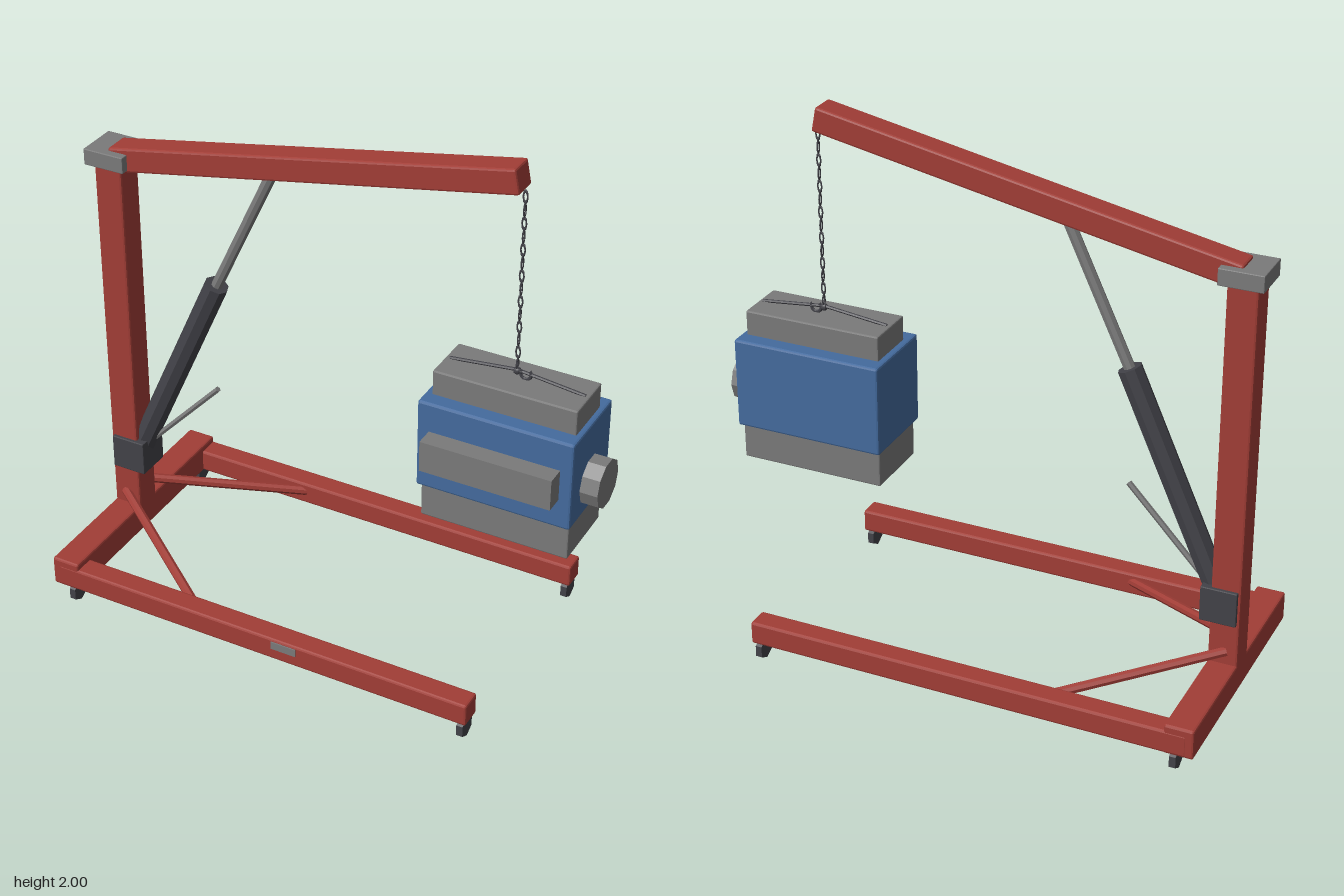
import * as THREE from 'three';
import { RoundedBoxGeometry } from 'three/addons/geometries/RoundedBoxGeometry.js';

const makeMaterial = (name, color) => {
  const m = new THREE.MeshStandardMaterial({ color, flatShading: true });
  m.name = name;
  return m;
};

export function createModel() {
  const red = makeMaterial('red paint', 0xa13d36);
  const blue = makeMaterial('blue block', 0x446b9e);
  const grey = makeMaterial('grey metal', 0x7a7a7a);
  const dark = makeMaterial('dark metal', 0x424248);

  const model = new THREE.Group();
  model.name = 'engineHoist';

  const add = (name, geometry, material, parent = model) => {
    const mesh = new THREE.Mesh(geometry, material);
    mesh.name = name;
    parent.add(mesh);
    return mesh;
  };
  // Chamfered box from min and max corners
  const box = (name, min, max, material, bevel = 0.008) => {
    const s = max.map((v, i) => v - min[i]);
    const geometry = bevel ? new RoundedBoxGeometry(...s, 1, bevel) : new THREE.BoxGeometry(...s);
    const mesh = add(name, geometry, material);
    mesh.position.set(...max.map((v, i) => (v + min[i]) / 2));
    return mesh;
  };
  // Round bar between two points
  const bar = (name, a, b, radius, material, sides = 8) => {
    const from = new THREE.Vector3(...a), to = new THREE.Vector3(...b);
    const dir = to.clone().sub(from);
    const mesh = add(name, new THREE.CylinderGeometry(radius, radius, dir.length(), sides), material);
    mesh.position.copy(from).add(to).multiplyScalar(0.5);
    mesh.quaternion.setFromUnitVectors(new THREE.Vector3(0, 1, 0), dir.normalize());
    return mesh;
  };

  // Base frame and mast
  box('crossBeam', [-0.975, 0.07, -0.485], [-0.865, 0.185, 0.485], red);
  box('mast', [-0.975, 0.16, -0.055], [-0.865, 1.65, 0.055], red);
  for (const side of [-1, 1]) {
    const z = side * 0.443;
    box('leg', [-0.95, 0.072, z - 0.043], [0.73, 0.16, z + 0.043], red);
    bar('brace', [-0.93, 0.235, side * 0.05], [-0.38, 0.118, side * 0.425], 0.018, red);
    for (const x of [-0.9, 0.705]) {
      const wheel = add('caster', new THREE.CylinderGeometry(0.043, 0.043, 0.024, 6), dark);
      wheel.rotation.set(Math.PI / 2, 0, Math.PI / 2);
      wheel.position.set(x, 0.0375, z);
    }
  }
  box('ratingPlate', [-0.04, 0.12, 0.484], [0.06, 0.15, 0.491], grey, 0);

  // Boom and pivot cap
  box('pivotCap', [-1, 1.63, -0.08], [-0.84, 1.692, 0.08], grey, 0.003);
  const boom = add('boom', new RoundedBoxGeometry(1.58, 0.092, 0.1, 1, 0.008), red);
  boom.position.set(-0.135, 1.805, 0);
  boom.rotation.z = Math.atan2(0.3, 1.55);

  // Hydraulic ram
  box('ramBracket', [-0.965, 0.35, -0.068], [-0.83, 0.485, 0.068], dark, 0.003);
  bar('ramCylinder', [-0.885, 0.415, 0], [-0.52, 1.233, 0], 0.045, dark);
  bar('ramRod', [-0.53, 1.21, 0], [-0.277, 1.75, 0], 0.021, grey);
  bar('pumpHandle', [-0.87, 0.43, 0], [-0.53, 0.79, 0], 0.011, grey, 6);

  // Chain of alternating links
  const linkCount = 14, pitch = 0.68 / linkCount;
  for (let i = 0; i < linkCount; i++) {
    const geometry = new THREE.TorusGeometry(0.008, 0.003, 5, 8);
    geometry.scale(1, 2.6, 1);
    const link = add('chainLink', geometry, dark);
    link.position.set(0.65, 1.91 - (i + 0.5) * pitch, 0);
    link.rotation.y = i % 2 ? Math.PI / 2 : 0;
  }

  // Hook and sling
  const hook = add('hook', new THREE.TorusGeometry(0.02, 0.006, 6, 10, Math.PI * 1.5), dark);
  hook.position.set(0.682, 1.226, 0);
  hook.rotation.z = Math.PI * 0.75;
  add('hookRing', new THREE.SphereGeometry(0.014, 8, 6), dark).position.set(0.65, 1.23, 0);
  for (const x of [0.4, 0.9]) bar('sling', [0.65, 1.234, 0], [x, 1.206, 0], 0.006, dark, 6);

  // Hanging engine
  box('engineBlock', [0.36, 0.768, -0.16], [0.935, 1.112, 0.16], blue);
  box('cylinderHead', [0.385, 1.1, -0.1], [0.915, 1.205, 0.1], grey, 0.005);
  box('oilPan', [0.37, 0.63, -0.137], [0.925, 0.775, 0.137], grey, 0.005);
  box('exhaustManifold', [0.405, 0.882, 0.15], [0.89, 1, 0.23], grey, 0);
  const pulley = add('pulley', new THREE.CylinderGeometry(0.09, 0.09, 0.075, 10), grey);
  pulley.rotation.z = Math.PI / 2;
  pulley.position.set(0.9625, 0.885, 0);

  return model;
}
